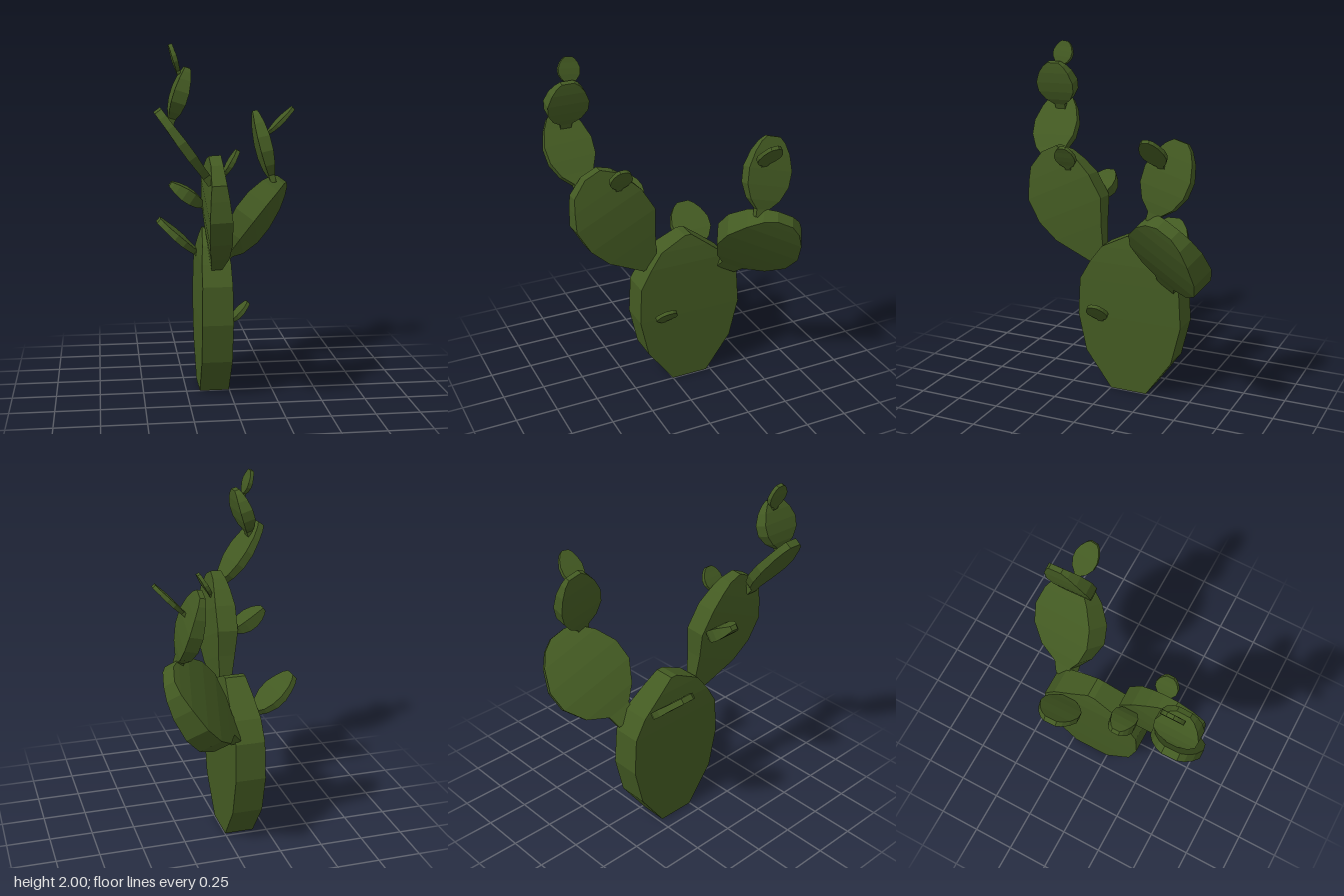
import * as THREE from 'three';

const material = new THREE.MeshStandardMaterial({ color: 0x435a22, flatShading: true });

// Lofts rectangular sections along base -> tip.
// Each row: [fraction along axis, side min, side max, thickness]
function pad(name, base, tip, side, rows) {
  const b = new THREE.Vector3(...base);
  const axis = new THREE.Vector3(...tip).sub(b);
  const length = axis.length();
  axis.normalize();
  const s = new THREE.Vector3(...side);
  s.addScaledVector(axis, -s.dot(axis)).normalize();
  const n = new THREE.Vector3().crossVectors(axis, s);

  const positions = [];
  const index = [];
  rows.forEach(([u, v0, v1, t]) => {
    for (const [v, h] of [[v0, -t / 2], [v1, -t / 2], [v1, t / 2], [v0, t / 2]]) {
      const p = b.clone().addScaledVector(axis, u * length).addScaledVector(s, v).addScaledVector(n, h);
      positions.push(p.x, p.y, p.z);
    }
  });
  const quad = (a, c, d, e) => index.push(a, c, d, a, d, e);
  for (let r = 0; r < rows.length - 1; r++) {
    for (let i = 0; i < 4; i++) {
      const j = (i + 1) % 4;
      quad(r * 4 + i, r * 4 + j, r * 4 + 4 + j, r * 4 + 4 + i);
    }
  }
  const last = (rows.length - 1) * 4;
  quad(0, 3, 2, 1);
  quad(last, last + 1, last + 2, last + 3);

  const geometry = new THREE.BufferGeometry();
  geometry.setAttribute('position', new THREE.Float32BufferAttribute(positions, 3));
  geometry.setIndex(index);
  const flat = geometry.toNonIndexed();
  flat.computeVertexNormals();
  const mesh = new THREE.Mesh(flat, material);
  mesh.name = name;
  return mesh;
}

// Rounded outline with a narrow neck: [fraction, relative width, leaf thickness]
const OUTLINE = [
  [0, 0.26, 0.45], [0.1, 0.28, 0.5], [0.22, 0.68, 0.8], [0.4, 0.96, 1],
  [0.6, 1, 1], [0.8, 0.8, 0.8], [0.93, 0.55, 0.55], [1, 0.3, 0.4],
];

// Symmetric pad; leaf = true thins it towards both ends
function roundPad(name, base, tip, width, thickness, leaf = false, side = [0, 0, 1]) {
  const rows = OUTLINE.map(([u, w, k]) =>
    [u, -w * width / 2, w * width / 2, thickness * (leaf ? k : Math.max(k, 0.85))]);
  return pad(name, base, tip, side, rows);
}

export function createModel() {
  const group = new THREE.Group();
  group.name = 'cactus';

  // Thick trunk pad
  group.add(pad('trunkPad', [-0.0875, 0, 0], [-0.0875, 0.95, 0], [0, 0, 1], [
    [0, -0.225, 0, 0.17], [0.23, -0.38, 0.16, 0.175], [0.47, -0.435, 0.21, 0.175],
    [0.7, -0.42, 0.2, 0.17], [0.82, -0.35, 0.135, 0.165], [0.92, -0.23, 0.065, 0.145],
    [1, -0.13, -0.09, 0.12],
  ]));

  // Large front pad
  group.add(pad('frontPad', [-0.09, 0.78, 0.105], [-0.125, 1.43, 0.415], [0, 0, 1], [
    [0, -0.035, 0.06, 0.06], [0.26, -0.11, 0.21, 0.1], [0.45, -0.175, 0.265, 0.12],
    [0.66, -0.16, 0.277, 0.12], [0.8, -0.12, 0.23, 0.1], [0.9, -0.08, 0.19, 0.08],
    [0.98, -0.015, 0.085, 0.065],
  ]));

  // Chain rising from the front pad
  group.add(
    roundPad('frontBranchLower', [-0.155, 1.29, 0.48], [-0.43, 1.67, 0.51], 0.28, 0.05),
    roundPad('frontBranchMiddle', [-0.365, 1.6, 0.49], [-0.275, 1.885, 0.495], 0.24, 0.075, true),
    roundPad('frontBranchTip', [-0.315, 1.85, 0.47], [-0.36, 2.0, 0.455], 0.125, 0.025),
  );

  // Buds on the front pad
  group.add(
    roundPad('frontPadBud', [-0.07, 1.3, 0.3], [0.01, 1.44, 0.3], 0.13, 0.025),
    roundPad('frontPadSideLeaf', [-0.15, 1.11, 0.155], [-0.345, 1.245, 0.155], 0.145, 0.07, true),
  );

  // Buds on the trunk
  group.add(
    roundPad('trunkSidePad', [-0.15, 0.76, -0.25], [-0.39, 0.975, -0.24], 0.245, 0.04),
    roundPad('trunkBud', [-0.005, 0.425, 0.065], [0.1, 0.54, 0.065], 0.13, 0.025),
  );

  // Large rear arm
  group.add(pad('rearArm', [-0.02, 0.7, -0.355], [0.38, 1.14, -0.5], [0.125, -0.16, -0.42], [
    [0, -0.06, 0.06, 0.06], [0.13, -0.07, 0.07, 0.08], [0.25, -0.15, 0.18, 0.11],
    [0.45, -0.225, 0.245, 0.14], [0.65, -0.23, 0.245, 0.14], [0.85, -0.18, 0.185, 0.12],
    [0.97, -0.12, 0.12, 0.09], [1.03, -0.05, 0.05, 0.07],
  ]));

  // Pads on the rear arm
  group.add(
    roundPad('rearUpperPad', [0.315, 1.16, -0.385], [0.215, 1.585, -0.505], 0.27, 0.075, true),
    roundPad('rearUpperBud', [0.275, 1.45, -0.42], [0.435, 1.615, -0.39], 0.14, 0.025),
  );

  return group;
}
